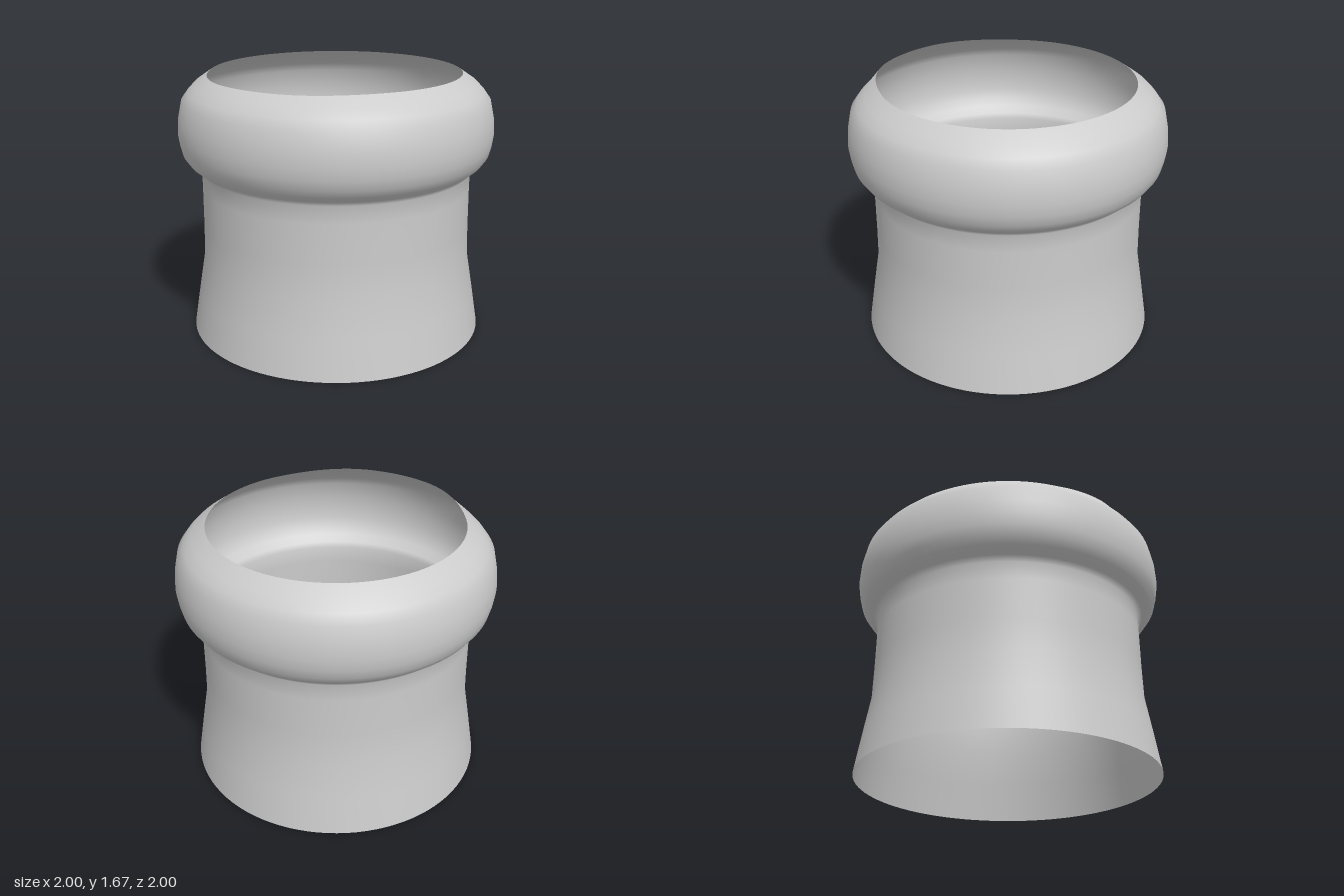
import * as THREE from 'three';

export function createModel() {
  const group = new THREE.Group();
  const material = new THREE.MeshStandardMaterial({ color: 0xcccccc, side: THREE.DoubleSide });

  // Thin open shell: flared skirt, straight neck, bulging collar
  const profile = [
    [0.95, 0], [0.91, 0.245], [0.868, 0.49], [0.863, 0.7], [0.861, 0.95], [0.862, 1.06],
    [0.89, 1.09], [0.94, 1.13], [0.975, 1.18], [0.99, 1.24], [1, 1.31],
    [0.994, 1.4], [0.97, 1.51], [0.93, 1.565], [0.88, 1.615], [0.792, 1.675],
  ].map(([r, y]) => new THREE.Vector2(r, y));
  const geometry = new THREE.LatheGeometry(profile, 96);

  // The top rim opens slightly wider toward -x
  const pos = geometry.attributes.position;
  for (let i = 0; i < pos.count; i++) {
    if (pos.getY(i) < 1.67) continue;
    const x = pos.getX(i), z = pos.getZ(i);
    const angle = Math.abs(Math.atan2(z, -x));
    const s = 1 + 0.06 * (1 - THREE.MathUtils.smoothstep(angle, 0.25, 1));
    pos.setXYZ(i, x * s, pos.getY(i), z * s);
  }

  const shell = new THREE.Mesh(geometry, material);
  shell.name = 'collaredSleeve';
  group.add(shell);
  return group;
}
